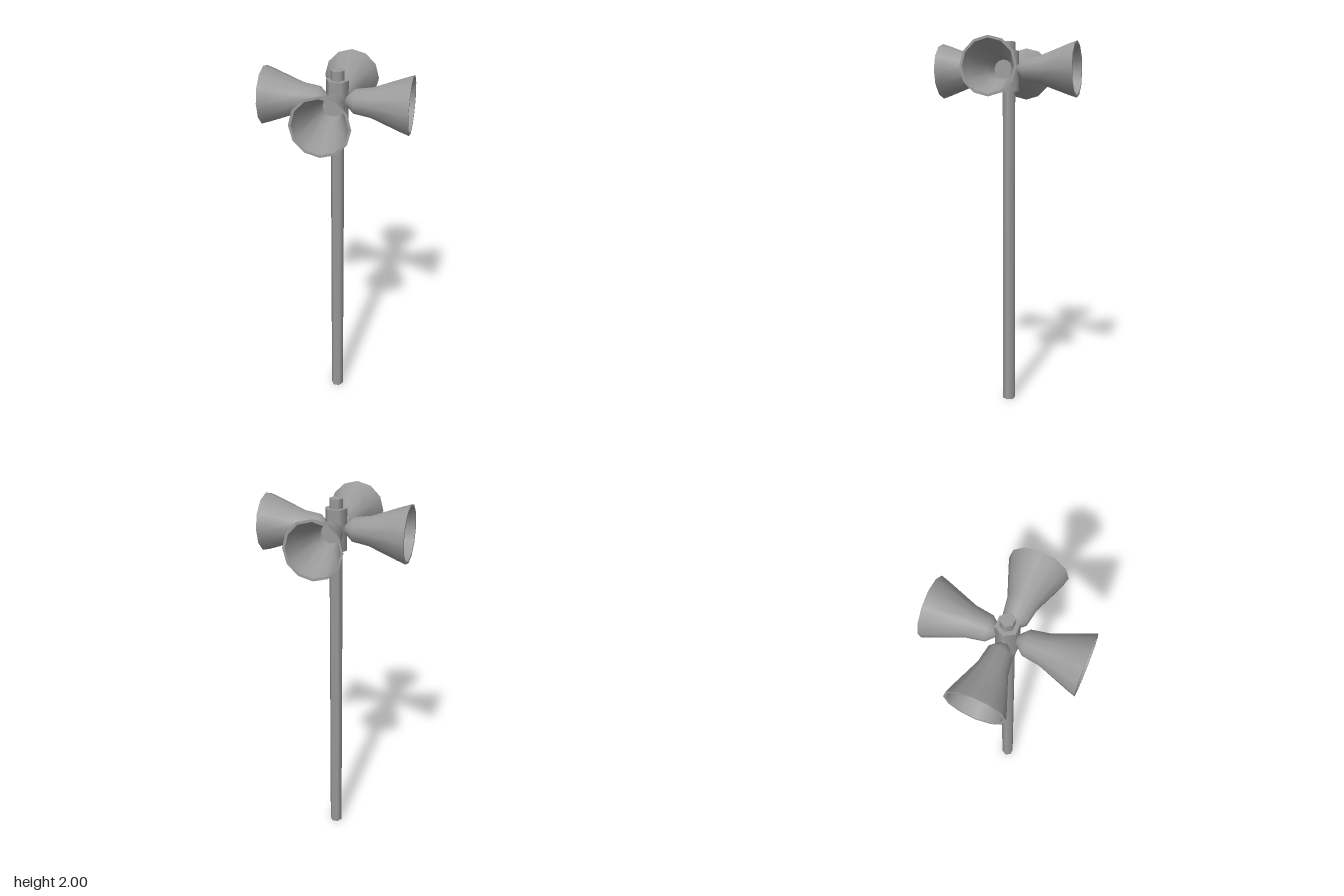
import * as THREE from 'three';

const SIDES = 12;
const HORN_Y = 1.85;

// Profiles as [radius, distance from the pole axis]
const PROFILES = {
  hornShell: [[0, 0.03], [0.028, 0.052], [0.062, 0.09], [0.076, 0.178], [0.134, 0.332], [0.148, 0.374]],
  hornRim: [[0.148, 0.374], [0.135, 0.374]],
  hornBell: [[0.135, 0.374], [0.122, 0.332], [0.066, 0.178], [0.05, 0.1]],
  hornThroat: [[0.05, 0.1], [0, 0.1]],
};

export function createModel() {
  const model = new THREE.Group();
  model.name = 'hornLoudspeakerPole';
  const material = new THREE.MeshStandardMaterial({ color: 0x9b9b9b, side: THREE.DoubleSide });

  const add = (name, geometry, parent = model) => {
    const mesh = new THREE.Mesh(geometry, material);
    mesh.name = name;
    parent.add(mesh);
    return mesh;
  };

  // Six-sided upright tube
  const hexTube = (name, radius, bottom, top, x) => {
    const geometry = new THREE.CylinderGeometry(radius, radius, top - bottom, 6, 1, true);
    add(name, geometry.rotateY(-Math.PI / 12).translate(x, (top + bottom) / 2, 0));
  };
  // Flat lid closing the top of a tube
  const hexLid = (name, radius, y, x) => {
    const geometry = new THREE.CircleGeometry(radius, 6).rotateX(-Math.PI / 2);
    add(name, geometry.rotateY(Math.PI / 12).translate(x, y, 0));
  };
  hexTube('pole', 0.035, 0, 2, 0.003);
  hexLid('poleTop', 0.035, 2, 0.003);
  hexTube('hub', 0.057, 1.737, 1.952, 0.002);
  hexLid('hubTop', 0.057, 1.952, 0.002);
  hexLid('hubBottom', 0.057, 1.737, 0.002);

  // Turned horn surfaces, laid along +z
  const parts = Object.entries(PROFILES).map(([name, profile]) => {
    const points = profile.map(([r, d]) => new THREE.Vector2(r, d));
    return [name, new THREE.LatheGeometry(points, SIDES).rotateX(Math.PI / 2)];
  });

  // Four horns on the diagonals
  for (let i = 0; i < 4; i++) {
    const horn = new THREE.Group();
    horn.name = `horn${i + 1}`;
    for (const [name, geometry] of parts) add(name, geometry, horn);
    horn.position.y = HORN_Y;
    horn.rotation.y = Math.PI / 4 + (i * Math.PI) / 2;
    model.add(horn);
  }

  return model;
}
